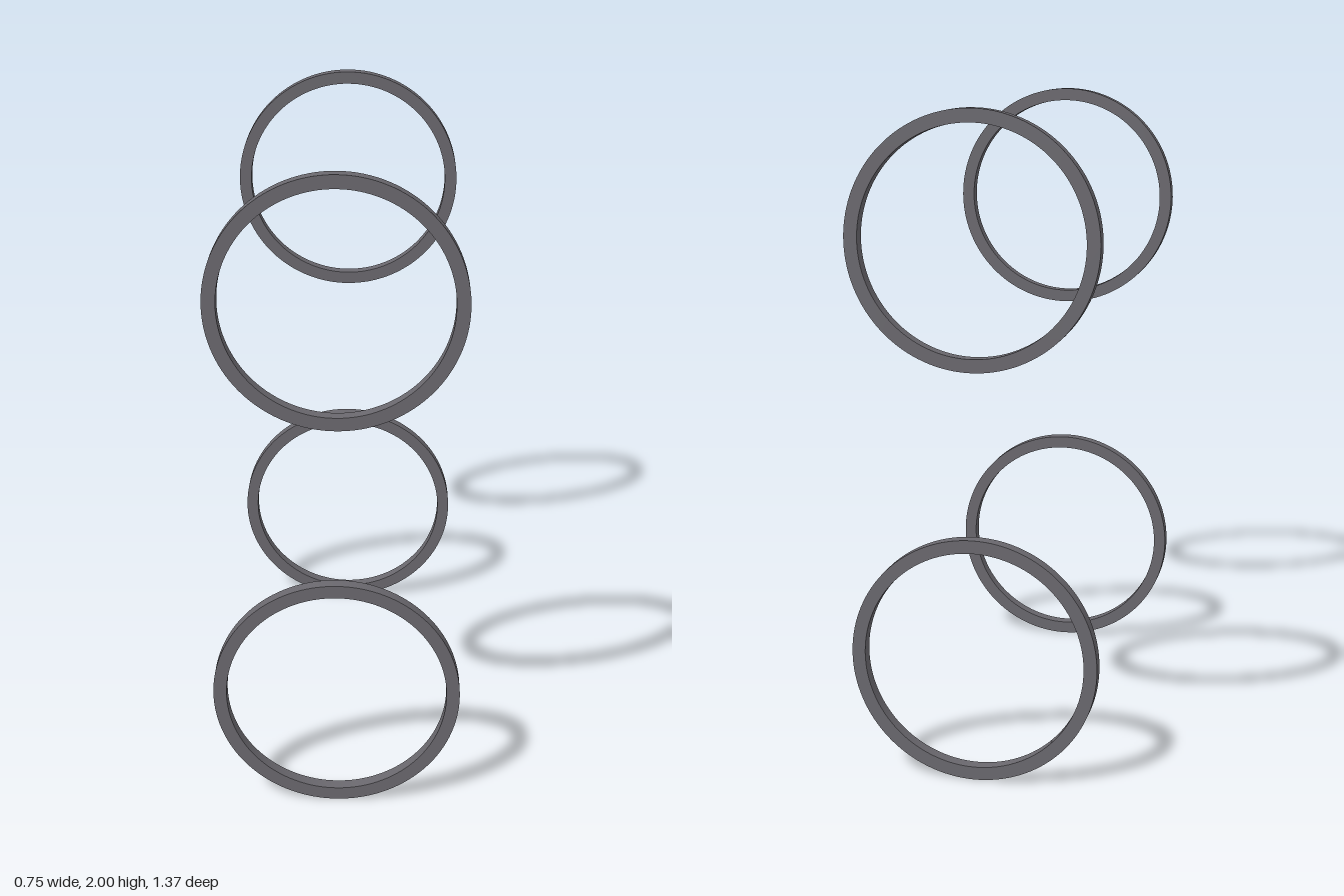
import * as THREE from 'three';
import { toCreasedNormals } from 'three/addons/utils/BufferGeometryUtils.js';

const OUTER = 0.375, INNER = 0.335, DEPTH = 0.04;

// Flat band with a square cross-section, facing z
function ringGeometry() {
  const shape = new THREE.Shape().absarc(0, 0, OUTER, 0, Math.PI * 2, false);
  shape.holes.push(new THREE.Path().absarc(0, 0, INNER, 0, Math.PI * 2, true));
  const geometry = new THREE.ExtrudeGeometry(shape, {
    depth: DEPTH, bevelEnabled: false, curveSegments: 64,
  });
  geometry.translate(0, 0, -DEPTH / 2);
  return toCreasedNormals(geometry, Math.PI / 6);
}

export function createModel() {
  const group = new THREE.Group();
  group.name = 'ringSet';
  const material = new THREE.MeshStandardMaterial({ color: 0x6a686e });
  const geometry = ringGeometry();

  // Lower and upper ring, at the front and at the back
  for (const [level, y] of [['lower', OUTER], ['upper', 2 - OUTER]]) {
    for (const [side, z] of [['Front', 0.665], ['Back', -0.665]]) {
      const ring = new THREE.Mesh(geometry, material);
      ring.name = `${level}${side}Ring`;
      ring.position.set(0, y, z);
      group.add(ring);
    }
  }
  return group;
}
